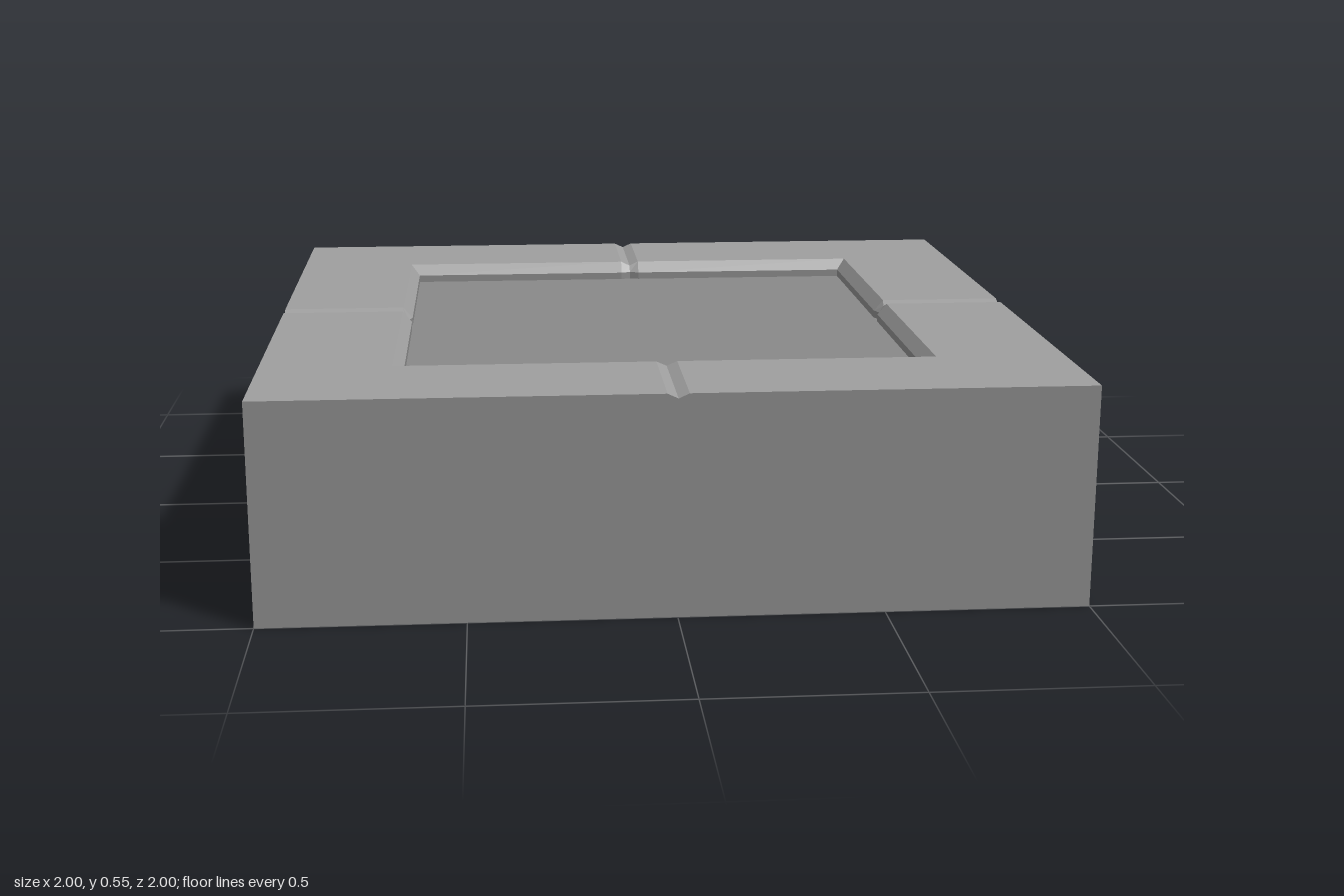
import * as THREE from 'three';

const H = 0.55;        // block height
const FLOOR = 0.5;     // recess floor level
const OUT = 1;         // outer half width
const RIM = 0.675;     // recess half width at the top
const INNER = 0.65;    // recess half width below the bevel
const BEVEL = 0.03;    // bevel drop
const GROOVE_W = 0.026, GROOVE_D = 0.012;

// Profile of one side from outer foot to recess floor; dip is 1 at the groove's centre
const profile = (dip) => [
  [OUT, 0],
  [OUT, H - dip * GROOVE_D],
  [RIM - dip * 0.003, H - dip * GROOVE_D],
  [INNER + dip * 0.01, H - BEVEL],
  [INNER + dip * 0.01, FLOOR],
];

// Skin between profile points first..last, swept over five stations along x
function stripGeometry(first, last) {
  const stations = [-1, -GROOVE_W, 0, GROOVE_W, 1];
  const n = last - first + 1;
  const positions = [], index = [];
  for (const s of stations) {
    for (const [z, y] of profile(s === 0 ? 1 : 0).slice(first, last + 1)) {
      // end stations follow the mitred corners
      positions.push(Math.abs(s) === 1 ? s * z : s, y, z);
    }
  }
  for (let i = 0; i < stations.length - 1; i++) {
    for (let j = 0; j < n - 1; j++) {
      const a = i * n + j, b = a + n;
      index.push(a, b, b + 1, a, b + 1, a + 1);
    }
  }
  const geometry = new THREE.BufferGeometry();
  geometry.setAttribute('position', new THREE.Float32BufferAttribute(positions, 3));
  geometry.setIndex(index);
  const flat = geometry.toNonIndexed();
  flat.computeVertexNormals();
  return flat;
}

export function createModel() {
  const group = new THREE.Group();
  group.name = 'recessedBlock';
  const bodyMaterial = new THREE.MeshStandardMaterial({ color: 0x888888, flatShading: true });
  const frameMaterial = new THREE.MeshStandardMaterial({ color: 0x9d9d9d, flatShading: true });

  const add = (name, geometry, material) => {
    const mesh = new THREE.Mesh(geometry, material);
    mesh.name = name;
    group.add(mesh);
    return mesh;
  };

  // Four identical sides: dark outer wall, lighter grooved frame, dark recess wall
  const strips = [
    ['OuterWall', stripGeometry(0, 1), bodyMaterial],
    ['Frame', stripGeometry(1, 3), frameMaterial],
    ['RecessWall', stripGeometry(3, 4), bodyMaterial],
  ];
  ['front', 'left', 'back', 'right'].forEach((side, i) => {
    for (const [part, geometry, material] of strips) {
      add(side + part, geometry, material).rotation.y = i * Math.PI / 2;
    }
  });

  // Recess floor, reaching slightly under the frame to fill the groove notches
  const floorSize = 2 * (INNER + 0.01);
  const floor = add('recessFloor', new THREE.PlaneGeometry(floorSize, floorSize), bodyMaterial);
  floor.rotation.x = -Math.PI / 2;
  floor.position.y = FLOOR;

  // Underside
  const base = add('underside', new THREE.PlaneGeometry(OUT * 2, OUT * 2), bodyMaterial);
  base.rotation.x = Math.PI / 2;

  return group;
}
